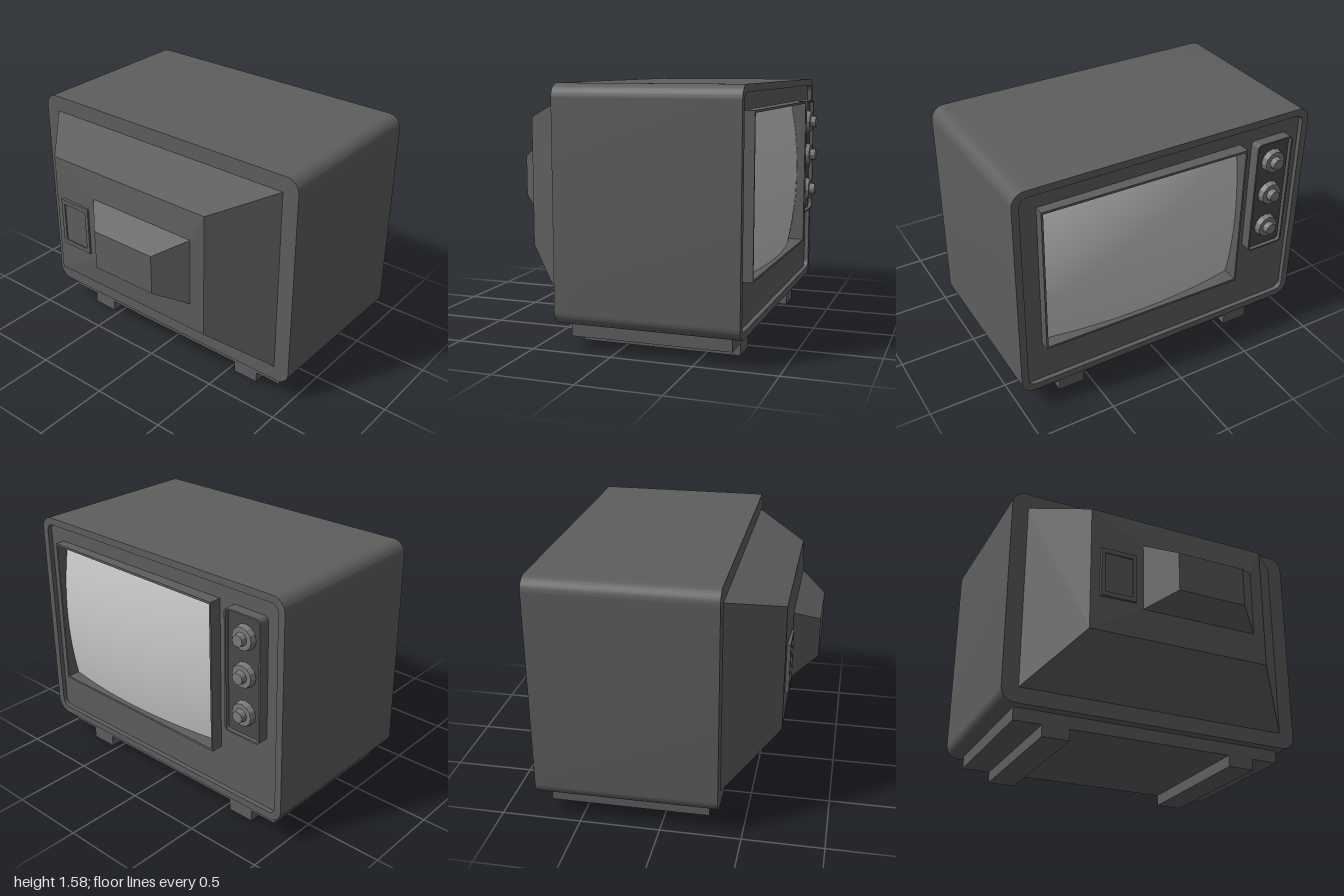
import * as THREE from 'three';
import { toCreasedNormals } from 'three/addons/utils/BufferGeometryUtils.js';

const mat = (color, side = THREE.FrontSide) => new THREE.MeshStandardMaterial({ color, side });
const BODY = mat(0x5e5e5e), DARK = mat(0x494949), KNOB = mat(0x7a7a7a);
const GLASS = mat(0xcccccc, THREE.DoubleSide);

// rounded rectangle in the z/y plane (shape x runs along -z)
function rounded(z0, z1, y0, y1, r, Type = THREE.Shape) {
  const a = -z1, b = -z0, s = new Type();
  if (!r) {
    s.moveTo(a, y0); s.lineTo(b, y0); s.lineTo(b, y1); s.lineTo(a, y1); s.closePath();
    return s;
  }
  s.moveTo(a + r, y0);
  s.lineTo(b - r, y0); s.absarc(b - r, y0 + r, r, -Math.PI / 2, 0);
  s.lineTo(b, y1 - r); s.absarc(b - r, y1 - r, r, 0, Math.PI / 2);
  s.lineTo(a + r, y1); s.absarc(a + r, y1 - r, r, Math.PI / 2, Math.PI);
  s.lineTo(a, y0 + r); s.absarc(a + r, y0 + r, r, Math.PI, Math.PI * 1.5);
  return s;
}

// extrude a z/y outline from x0 to x1, optionally with a hole
function slab(outline, x0, x1, hole) {
  const shape = rounded(...outline);
  if (hole) shape.holes.push(rounded(...hole, THREE.Path));
  const g = new THREE.ExtrudeGeometry(shape, { depth: x1 - x0, bevelEnabled: false, curveSegments: 8 });
  g.rotateY(Math.PI / 2).translate(x0, 0, 0);
  return toCreasedNormals(g, 0.6);
}

// faceted loft through rectangles [x, z0, z1, y0, y1], going towards -x
function loft(sections) {
  const rings = sections.map(([x, z0, z1, y0, y1]) =>
    [[x, y0, z0], [x, y0, z1], [x, y1, z1], [x, y1, z0]]);
  const pos = [];
  const quad = (a, b, c, d) => pos.push(...a, ...b, ...c, ...a, ...c, ...d);
  for (let k = 0; k + 1 < rings.length; k++)
    for (let i = 0; i < 4; i++) {
      const j = (i + 1) % 4;
      quad(rings[k][i], rings[k][j], rings[k + 1][j], rings[k + 1][i]);
    }
  quad(...rings[rings.length - 1]);
  const g = new THREE.BufferGeometry();
  g.setAttribute('position', new THREE.Float32BufferAttribute(pos, 3));
  g.computeVertexNormals();
  return g;
}

export function createModel() {
  const model = new THREE.Group();
  model.name = 'television';
  const add = (name, geometry, material = BODY, parent = model) => {
    const m = new THREE.Mesh(geometry, material);
    m.name = name;
    parent.add(m);
    return m;
  };

  // cabinet shell with its recessed front panel and closed back
  const outer = [-1, 1, 0.155, 1.58, 0.085];
  const inner = [-0.955, 0.955, 0.2, 1.535, 0.05];
  const opening = [-0.515, 0.842, 0.468, 1.435, 0];
  add('cabinet', slab(outer, -0.355, 0.775, inner));
  add('frontPanel', slab(inner, 0.6, 0.745, opening));
  add('backPanel', slab(inner, -0.355, -0.3));

  // screen surround, standing out a little more beside the controls
  const frame = slab(opening, 0.65, 0.8, [-0.503, 0.83, 0.482, 1.421, 0]);
  const fp = frame.attributes.position;
  for (let i = 0; i < fp.count; i++)
    if (fp.getX(i) > 0.75) fp.setX(i, 0.805 + 0.017 * (0.842 - fp.getZ(i)) / 1.357);
  add('screenFrame', frame);

  // bulging glass
  const w = 1.335, h = 0.941;
  const glass = new THREE.PlaneGeometry(w, h, 24, 18);
  const gp = glass.attributes.position;
  for (let i = 0; i < gp.count; i++) {
    const u = gp.getX(i) / (w / 2), v = gp.getY(i) / (h / 2);
    gp.setZ(i, 0.832 - 0.06 * u * u - 0.05 * v * v);
  }
  glass.rotateY(Math.PI / 2).translate(0, 0.9515, 0.1635);
  glass.computeVertexNormals();
  add('screen', glass, GLASS);

  // control panel: raised rim, sunken plate and three knobs
  const controls = new THREE.Group();
  controls.name = 'controls';
  model.add(controls);
  const plate = [-0.855, -0.613, 0.662, 1.422, 0.02];
  add('controlRim', slab([-0.866, -0.602, 0.652, 1.432, 0.03], 0.74, 0.81, plate), BODY, controls);
  add('controlPlate', slab(plate, 0.74, 0.785), DARK, controls);
  for (const y of [1.285, 1.053, 0.808]) {
    const knob = new THREE.Group();
    knob.name = 'knob';
    knob.position.set(0, y, -0.738);
    controls.add(knob);
    const disc = (name, rFront, rBack, x0, x1) => {
      const g = new THREE.CylinderGeometry(rFront, rBack, x1 - x0, 12).rotateZ(-Math.PI / 2);
      add(name, toCreasedNormals(g.translate((x0 + x1) / 2, 0, 0), 0.4), KNOB, knob);
    };
    disc('knobBase', 0.07, 0.08, 0.775, 0.82);
    disc('knobCap', 0.036, 0.04, 0.82, 0.855);
  }

  // tapering rear housing and the tube cover behind it
  add('rearHousing', loft([
    [-0.35, -0.9, 0.9, 0.25, 1.48],
    [-0.685, -0.6, 0.6, 0.55, 1.36],
    [-0.7, -0.26, 0.51, 0.74, 1.18],
    [-0.86, -0.1, 0.35, 0.83, 1.085],
  ]));

  // small socket plate on the rear
  add('socketRim', slab([-0.54, -0.31, 0.77, 1.09, 0], -0.71, -0.68, [-0.515, -0.335, 0.8, 1.06, 0]));
  add('socketPlate', slab([-0.515, -0.335, 0.8, 1.06, 0], -0.702, -0.68));

  // plinth and two runner feet
  add('plinth', slab([-0.9, 0.9, 0.073, 0.156, 0], -0.29, 0.705));
  for (const s of [-1, 1]) {
    const foot = new THREE.BoxGeometry(0.995, 0.075, 0.177);
    add('foot', foot.translate(0.2075, 0.0375, s * 0.631));
  }
  return model;
}
